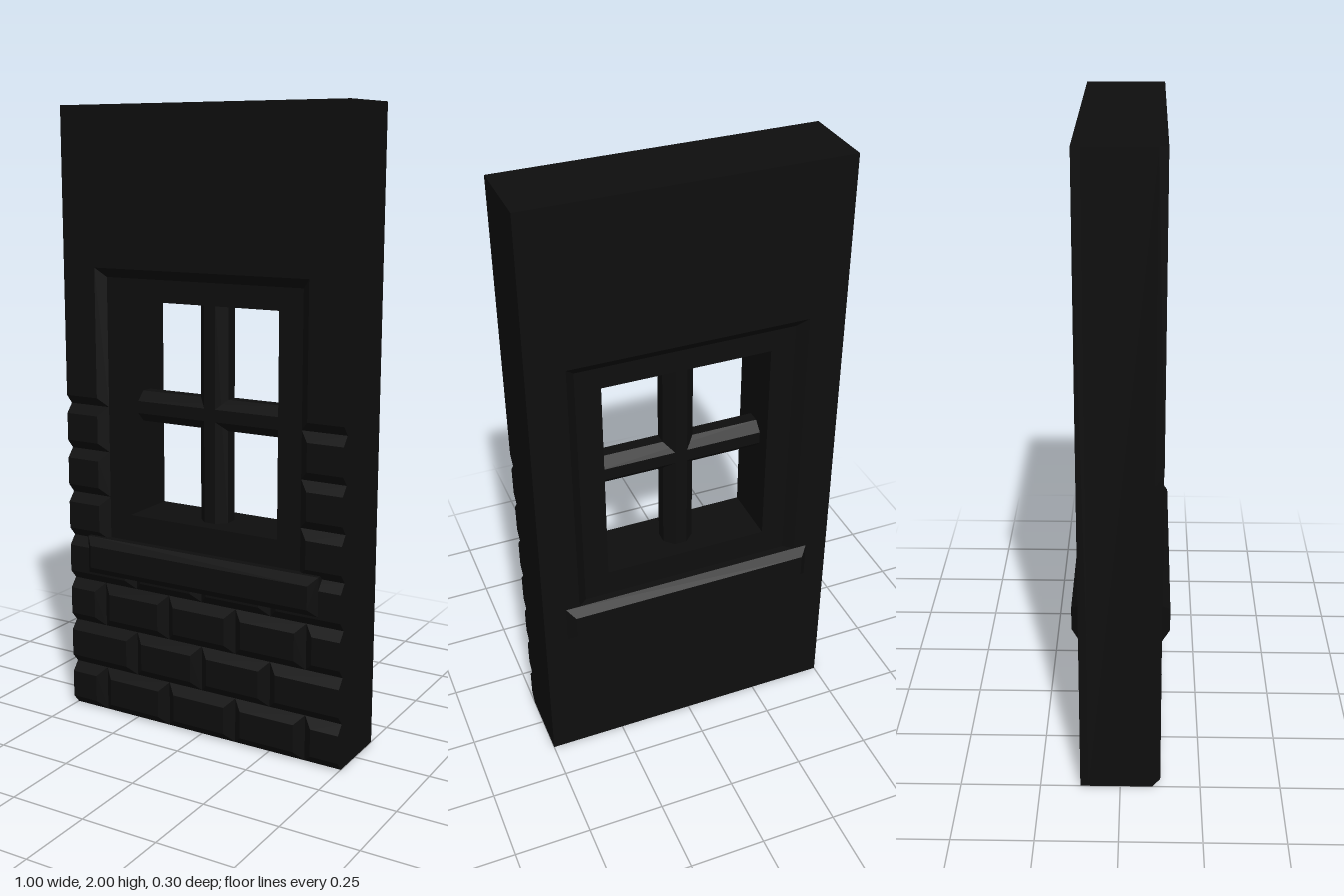
import * as THREE from 'three';

const material = new THREE.MeshStandardMaterial({ color: 0x0e0e0e, flatShading: true });

const CORE = 0.1;    // half depth of the wall core
const FACE = 0.125;  // half depth of the finished faces
const BEVEL = 0.03;

function addMesh(parent, name, geometry) {
  const mesh = new THREE.Mesh(geometry, material);
  mesh.name = name;
  parent.add(mesh);
  return mesh;
}

function rect(x0, x1, y0, y1) {
  return [[x0, y0], [x1, y0], [x1, y1], [x0, y1]];
}

// Extruded outline with an optional hole, centred on z = 0
function plate(outline, hole, depth, bevel = 0) {
  const toVectors = (points) => points.map(([x, y]) => new THREE.Vector2(x, y));
  const shape = new THREE.Shape(toVectors(outline));
  if (hole) shape.holes.push(new THREE.Path(toVectors(hole)));
  const geometry = new THREE.ExtrudeGeometry(shape, {
    depth: depth - 2 * bevel, bevelEnabled: bevel > 0, bevelSegments: 1,
    bevelSize: bevel, bevelThickness: bevel, bevelOffset: -bevel,
  });
  return geometry.translate(0, 0, bevel - depth / 2);
}

// Raised layer: sloped sides from a counter-clockwise base outline to a top outline
function raised(base, top) {
  const n = base.length;
  const positions = [
    ...base.flatMap(([x, y]) => [x, y, CORE]),
    ...top.flatMap(([x, y]) => [x, y, FACE]),
  ];
  const index = [];
  for (let i = 0; i < n; i++) {
    const j = (i + 1) % n;
    index.push(i, j, n + j, i, n + j, n + i);
  }
  const contour = top.map(([x, y]) => new THREE.Vector2(x, y));
  for (const face of THREE.ShapeUtils.triangulateShape(contour, [])) {
    index.push(...face.map((k) => k + n));
  }
  const geometry = new THREE.BufferGeometry();
  geometry.setAttribute('position', new THREE.Float32BufferAttribute(positions, 3));
  geometry.setIndex(index);
  geometry.computeVertexNormals();
  return geometry;
}

// Upside-down U outline around the window
function archOutline(bottom, halfWidth, head) {
  return [
    [-0.5, bottom], [-halfWidth, bottom], [-halfWidth, head], [halfWidth, head],
    [halfWidth, bottom], [0.5, bottom], [0.5, 2], [-0.5, 2],
  ];
}

// Brick with bevels everywhere except on the wall's outer ends
function brick(x0, x1, y0, y1) {
  const left = x0 <= -0.5 ? x0 : x0 + BEVEL;
  const right = x1 >= 0.5 ? x1 : x1 - BEVEL;
  return raised(rect(x0, x1, y0, y1), rect(left, right, y0 + BEVEL, y1 - BEVEL));
}

// Chamfered glazing bar running along z, centred
function barGeometry(length) {
  const h = 0.05, c = 0.02;
  const outline = [[c, -h], [h, -c], [h, c], [c, h], [-c, h], [-h, c], [-h, -c], [-c, -h]];
  return plate(outline, null, length);
}

export function createModel() {
  const model = new THREE.Group();
  model.name = 'wallWithWindow';

  // Wall core and window frame
  const opening = rect(-0.35, 0.35, 0.6, 1.47);
  addMesh(model, 'wallCore', plate(rect(-0.5, 0.5, 0, 2), opening, 2 * CORE));
  addMesh(model, 'windowFrame', plate(opening, rect(-0.27, 0.27, 0.7, 1.4), 2 * CORE));

  // Front plaster ends above the brickwork with a bevel
  addMesh(model, 'frontPlaster', raised(
    archOutline(1.05, 0.35, 1.47), archOutline(1.05 + BEVEL, 0.38, 1.5)));

  // Back plaster covers the whole wall
  const back = new THREE.Group();
  back.name = 'backPlaster';
  addMesh(back, 'backUpper', raised(archOutline(0.55, 0.35, 1.47), archOutline(0.55, 0.38, 1.5)));
  const lower = rect(-0.5, 0.5, 0, 0.55);
  addMesh(back, 'backLower', raised(lower, lower));
  back.rotation.y = Math.PI;
  model.add(back);

  // Brick courses, staggered below the sill and cut short beside the window
  const bricks = new THREE.Group();
  bricks.name = 'brickwork';
  const courses = [
    [-0.5, -0.375, -0.125, 0.125, 0.375, 0.5],
    [-0.5, -0.25, 0, 0.25, 0.5],
  ];
  for (let row = 0; row < 7; row++) {
    const y0 = row * 0.15, y1 = y0 + 0.15;
    if (row < 4) {
      const joints = courses[row % 2];
      for (let i = 0; i < joints.length - 1; i++) {
        addMesh(bricks, 'brick', brick(joints[i], joints[i + 1], y0, y1));
      }
    } else {
      addMesh(bricks, 'brick', brick(-0.5, -0.35, y0, y1));
      addMesh(bricks, 'brick', brick(0.35, 0.5, y0, y1));
    }
  }
  model.add(bricks);

  // Sill projecting on both sides
  addMesh(model, 'windowSill',
    plate(rect(-0.425, 0.425, 0.4875, 0.6125), null, 0.3, 0.025));

  // Crossed glazing bars
  const upright = addMesh(model, 'verticalBar', barGeometry(0.74));
  upright.rotation.x = Math.PI / 2;
  upright.position.y = 1.05;
  const crossbar = addMesh(model, 'horizontalBar', barGeometry(0.58));
  crossbar.rotation.y = Math.PI / 2;
  crossbar.position.y = 1.05;

  return model;
}
